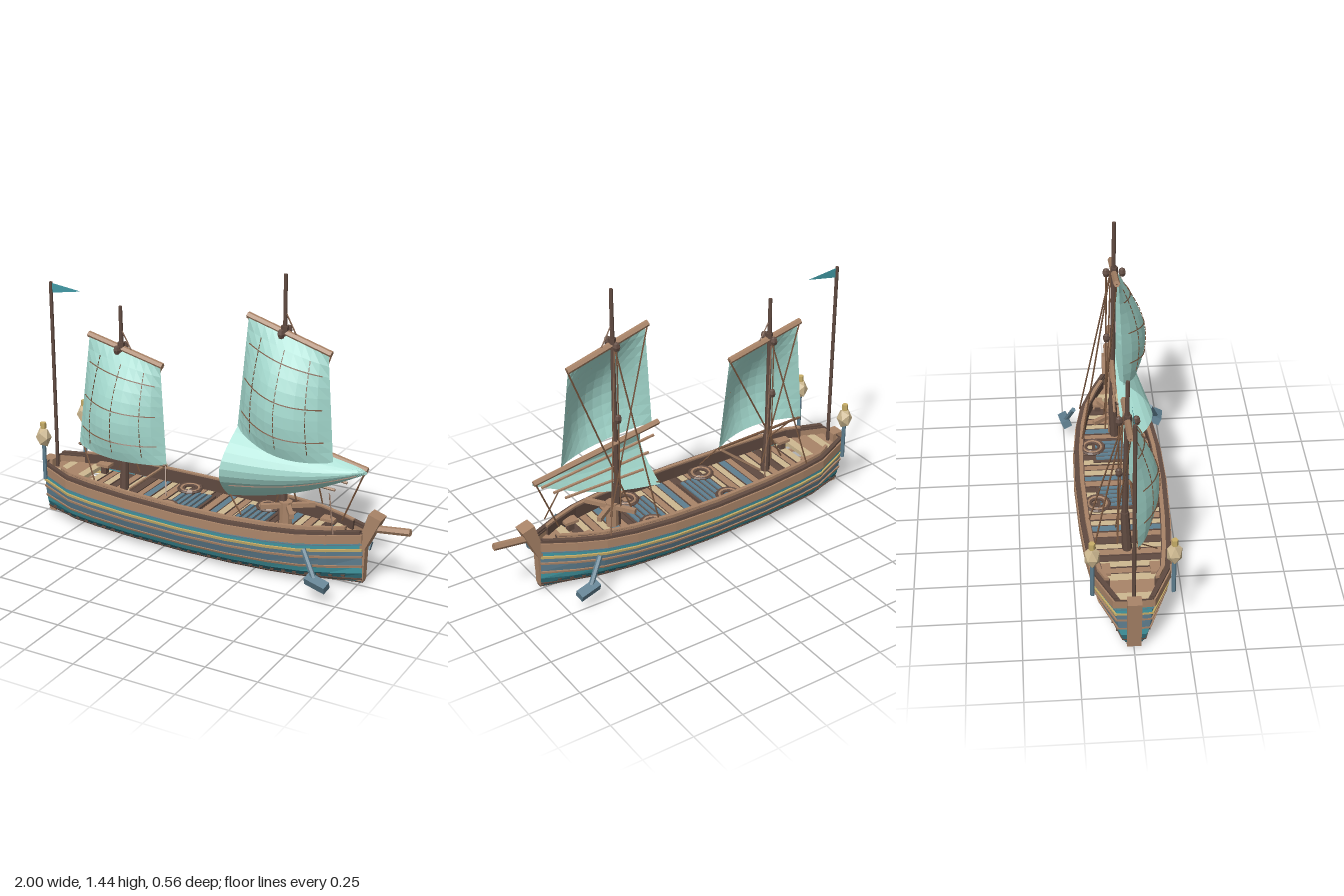
import * as THREE from 'three';

const mat = (name, color, side = THREE.FrontSide) => {
  const m = new THREE.MeshStandardMaterial({ color, flatShading: true, side });
  m.name = name;
  return m;
};
const V = (x, y, z) => new THREE.Vector3(x, y, z);

export function createModel() {
  const M = {
    wood: mat('wood', 0xa98468),
    dark: mat('dark wood', 0x614b41),
    cream: mat('cream plank', 0xcdb890),
    gold: mat('gold trim', 0xc8ae68),
    sail: mat('sail cloth', 0xa3d8cd, THREE.DoubleSide),
    teal: mat('teal paint', 0x429aa5, THREE.DoubleSide),
    deep: mat('deep teal paint', 0x2f6a75),
    slate: mat('slate paint', 0x5f7f90),
    rope: mat('rope', 0x77563f),
  };
  const ship = new THREE.Group();
  ship.name = 'sailingShip';
  const add = (name, geo, m) => {
    const mesh = new THREE.Mesh(geo, m);
    mesh.name = name;
    ship.add(mesh);
    return mesh;
  };
  const box = (name, w, h, d, x, y, z, m) => {
    const b = add(name, new THREE.BoxGeometry(w, h, d), m);
    b.position.set(x, y, z);
    return b;
  };
  const rod = (name, a, b, r, m, sides = 6, r2 = r) => {
    const d = b.clone().sub(a);
    const mesh = add(name, new THREE.CylinderGeometry(r2, r, d.length(), sides), m);
    mesh.position.copy(a).add(b).multiplyScalar(0.5);
    mesh.quaternion.setFromUnitVectors(V(0, 1, 0), d.normalize());
    return mesh;
  };
  const rope = (a, b) => rod('rope', a, b, 0.004, M.rope, 4);
  // Skin through rows of points; closed rows also get end caps
  const loft = (rows, closed = false) => {
    const n = rows[0].length, idx = [];
    for (let i = 0; i < rows.length - 1; i++) {
      for (let j = 0; j < (closed ? n : n - 1); j++) {
        const k = (j + 1) % n, a = i * n + j, b = a + n, c = (i + 1) * n + k, d = i * n + k;
        idx.push(a, b, c, a, c, d);
      }
    }
    if (closed) {
      const e = (rows.length - 1) * n;
      for (let j = 1; j < n - 1; j++) idx.push(0, j, j + 1, e, e + j + 1, e + j);
    }
    const g = new THREE.BufferGeometry().setFromPoints(rows.flat());
    g.setIndex(idx);
    const flat = g.toNonIndexed();
    flat.computeVertexNormals();
    return flat;
  };

  // Hull shape: half beam by length, fullness by height
  const beam = [[-0.96, 0], [-0.955, 0.08], [-0.76, 0.168], [-0.62, 0.187], [-0.4, 0.203], [-0.1, 0.213],
    [0.15, 0.207], [0.35, 0.187], [0.5, 0.157], [0.63, 0.105], [0.78, 0.03]];
  const full = [[0, 0], [0.006, 0.38], [0.02, 0.58], [0.055, 0.74], [0.095, 0.85], [0.14, 0.93], [0.19, 0.98], [0.23, 1], [0.3, 0.97]];
  const lerp = (table, t) => {
    let i = 1;
    while (i < table.length - 1 && t > table[i][0]) i++;
    const [a, p] = table[i - 1], [b, q] = table[i];
    return p + (q - p) * THREE.MathUtils.clamp((t - a) / (b - a), 0, 1);
  };
  const sheer = (x) => 0.026 * (x / 0.9) ** 2;
  const side = (x, y, off = 0) => V(x, y + sheer(x), Math.max(0, lerp(beam, x) * lerp(full, y) + off));
  const both = (name, section, m, closed, x0 = -0.96, x1 = 0.78) => {
    const xs = [x0, ...beam.map((b) => b[0]).filter((x) => x > x0 && x < x1), x1];
    const rows = xs.map((x) => section.map(([y, off]) => side(x, y, off)));
    add(name, loft(rows, closed), m);
    add(name, loft(rows.map((r) => r.map((p) => V(p.x, p.y, -p.z)).reverse()), closed), m);
  };
  const strake = (name, y0, y1, out, inn, m, x0, x1) =>
    both(name, [[y0, out], [y1, out], [y1, inn], [y0, inn]], m, true, x0, x1);

  // Painted hull bands from keel to rail
  both('hullBottom', [[0, 0], [0.006, 0], [0.02, 0], [0.055, 0]], M.deep);
  both('hullLowerBand', [[0.055, 0], [0.095, 0]], M.teal);
  both('hullMiddleBand', [[0.095, 0], [0.14, 0], [0.18, 0]], M.slate);
  both('hullUpperBand', [[0.18, 0], [0.222, 0]], M.teal);
  strake('keelStrake', 0.004, 0.01, 0.005, -0.01, M.dark);
  strake('bilgeStrake', 0.022, 0.03, 0.006, -0.01, M.dark);
  strake('lowerWale', 0.088, 0.099, 0.008, -0.01, M.wood);
  strake('middleWale', 0.14, 0.15, 0.008, -0.01, M.wood);
  strake('goldTrim', 0.174, 0.186, 0.009, -0.01, M.gold);
  strake('upperTrim', 0.205, 0.21, 0.006, -0.01, M.slate);
  strake('bulwark', 0.218, 0.26, 0.014, -0.018, M.wood);
  strake('railShadowStrip', 0.26, 0.268, 0.006, -0.018, M.dark);
  strake('railCap', 0.268, 0.277, 0.01, -0.012, M.dark, -0.95, 0.77);
  strake('innerRail', 0.277, 0.292, -0.012, -0.03, M.wood, -0.83, 0.7);
  strake('innerRailEdge', 0.22, 0.284, -0.012, -0.035, M.dark, -0.83, 0.7);

  // Row of small nails along the bilge
  for (let x = -0.9; x < 0.74; x += 0.055) {
    const p = side(x, 0.042, 0.001);
    for (const s of [1, -1]) box('hullNail', 0.018, 0.007, 0.01, p.x, p.y, p.z * s, M.dark);
  }

  // Cross planked deck, raised at both ends
  const plankMats = [M.wood, M.cream, M.dark, M.wood, M.slate, M.cream, M.wood, M.cream, M.dark];
  const step = 0.042;
  for (let x = -0.93, i = 0; x < 0.75; x += step, i++) {
    const ends = x < -0.74 || x > 0.62;
    const w = Math.min(lerp(beam, x - step / 2), lerp(beam, x + step / 2)) * 0.96 - 0.006;
    if (w < 0.01) continue;
    const m = ends ? (i % 3 === 1 ? M.cream : M.wood) : plankMats[i % plankMats.length];
    box('deckPlank', step, 0.02, 2 * w, x, ends ? 0.245 : 0.205 + (i % 2) * 0.004, 0, m);
    if (!ends) box('deckSeam', 0.004, 0.02, 2 * w, x + step / 2, 0.2105, 0, M.dark);
  }
  // Gratings and rope coils
  for (const x of [-0.16, 0.2]) {
    box('hatchFrame', 0.17, 0.02, 0.24, x, 0.216, 0, M.dark);
    for (let i = 0; i < 5; i++) box('hatchBar', 0.018, 0.012, 0.21, x - 0.062 + i * 0.031, 0.228, 0, M.slate);
    for (const z of [-0.12, 0.12]) {
      for (let k = 0; k < 3; k++) {
        const t = add('ropeCoil', new THREE.TorusGeometry(0.058 - k * 0.012, 0.008, 5, 14), k % 2 ? M.wood : M.dark);
        t.rotation.x = Math.PI / 2;
        t.position.set(x - 0.06 + (x > 0 ? 0.08 : 0), 0.238, z);
      }
    }
  }
  // Side benches
  for (const s of [1, -1]) {
    for (const x of [-0.72, 0.56]) {
      box('bench', 0.07, 0.014, 0.05, x, 0.265, s * (x < 0 ? 0.115 : 0.075), M.wood);
      box('benchLeg', 0.03, 0.05, 0.03, x, 0.235, s * (x < 0 ? 0.115 : 0.075), M.dark);
    }
  }

  // Stem, stern post and bowsprit
  const post = (name, pts, depth) => {
    const g = new THREE.ExtrudeGeometry(new THREE.Shape(pts.map((p) => new THREE.Vector2(...p))), { depth, bevelEnabled: false });
    add(name, g.translate(0, 0, -depth / 2), M.wood);
  };
  post('lowerStem', [[0.72, 0.025], [0.783, 0.035], [0.79, 0.24], [0.74, 0.24]], 0.04);
  post('upperStem', [[0.75, 0.2], [0.79, 0.2], [0.868, 0.365], [0.805, 0.385]], 0.07);
  post('sternPost', [[-0.965, 0.02], [-0.93, 0.02], [-0.94, 0.3], [-1.0, 0.3]], 0.065);
  rod('bowsprit', V(0.78, 0.3, 0), V(1, 0.325, 0), 0.018, M.wood);

  // Sail cloth with seams and stitches; S maps (u across, v down) to a point
  const sail = (name, S, us, vs) => {
    const n = 10, rows = [];
    for (let i = 0; i <= n; i++) {
      rows.push([]);
      for (let j = 0; j <= n; j++) rows[i].push(S(i / n, j / n));
    }
    add(name, loft(rows), M.sail);
    const F = (u, v) => S(u, v).add(V(0, 0, 0.003));
    for (const v of vs) {
      const pts = Array.from({ length: 11 }, (_, i) => F(0.06 + i * 0.088, v));
      add('sailSeam', new THREE.TubeGeometry(new THREE.CatmullRomCurve3(pts), 20, 0.003, 3), M.rope);
    }
    for (const u of us) for (let k = 0; k < 16; k++) {
      const v = 0.1 + k * 0.052;
      rod('sailStitch', F(u, v), F(u, v + 0.038), 0.0025, M.rope, 3);
    }
  };
  const squareSail = (name, tl, tr, bl, br, bulge, sag) => sail(name, (u, v) => {
    const p = tl.clone().lerp(tr, u).lerp(bl.clone().lerp(br, u), v);
    p.z += 0.01 + bulge * Math.sin(Math.PI * u) ** 0.8 * Math.sin(Math.PI * 0.78 * v);
    p.y -= sag * Math.sin(Math.PI * u) * v;
    return p;
  }, [0.2, 0.5, 0.8], [0.2, 0.5, 0.8]);
  squareSail('mainSail', V(0.17, 1.22, 0), V(0.575, 1.1, 0), V(0.125, 0.68, 0.02), V(0.62, 0.6, 0.02), 0.13, 0.03);
  squareSail('mizzenSail', V(-0.705, 0.985, 0), V(-0.305, 0.895, 0), V(-0.77, 0.425, 0.02), V(-0.265, 0.405, 0.02), 0.122, 0);
  sail('lowerSail', (u, v) => {
    const p = V(0.13, 0.705, 0.01).lerp(V(0.78, 0.59, 0.01), u).lerp(V(0.08, 0.325, 0.03).lerp(V(0.78, 0.57, 0.01), u), v);
    p.z += 0.15 * Math.sin(Math.PI * v) * (1 - u) ** 0.6;
    p.y -= 0.04 * Math.sin(Math.PI * u) * v;
    return p;
  }, [], [0.75]);
  // Battens behind the lower sail
  for (let k = 0; k < 3; k++) {
    rod('sailBatten', V(0.14 + k * 0.03, 0.64 - k * 0.085, -0.01), V(0.74 - k * 0.06, 0.55 - k * 0.048, 0), 0.007, M.wood, 5);
  }
  // Rope hem at the foot of the mizzen sail
  rod('sailHem', V(-0.77, 0.425, 0.035), V(-0.265, 0.405, 0.035), 0.007, M.rope, 5);

  // Masts, yards, tackle blocks and rigging
  const block = (x, y, z) => {
    const b = add('tackleBlock', new THREE.SphereGeometry(0.019, 6, 4), M.dark);
    b.scale.y = 1.3;
    b.position.set(x, y, z);
  };
  const rig = (x, top, neck, yardL, yardR, blocks, footL, footR) => {
    rod('lowerMast', V(x, 0.2, 0), V(x, 0.44, -0.012), 0.024, M.dark, 8, 0.02);
    rod('mast', V(x, 0.42, -0.012), V(x, top, 0), 0.015, M.dark, 8, 0.009);
    rod('mastBand', V(x, neck - 0.02, 0), V(x, neck + 0.03, 0), 0.018, M.dark, 6);
    rod('yard', yardL, yardR, 0.016, M.wood);
    block(x, neck, 0.038);
    for (const y of blocks) block(x, y, -0.038);
    rope(V(x, neck + 0.1, 0), yardL.clone().lerp(yardR, 0.6));
    rope(V(x, neck, -0.038), V(x, 0.3, -0.045));
    for (const dx of [-0.13, 0.13]) rope(V(x, neck - 0.01, -0.02), V(x + dx, 0.29, -0.17));
    rope(yardL, V(x + 0.06, 0.3, -0.05));
    rope(yardR, V(x - 0.06, 0.3, -0.05));
    rope(footL, V(footL.x + 0.12, 0.29, 0.13));
    rope(footR, V(footR.x + 0.05, 0.29, 0.12));
  };
  rig(0.35, 1.445, 1.175, V(0.16, 1.228, 0), V(0.585, 1.105, 0), [1.175, 0.805], V(0.08, 0.34, 0.03), V(0.62, 0.46, 0.06));
  rig(-0.53, 1.165, 0.955, V(-0.715, 0.998, 0), V(-0.298, 0.9, 0), [0.955, 0.67], V(-0.74, 0.43, 0.04), V(-0.265, 0.405, 0.04));
  rod('lowerYard', V(0.12, 0.712, -0.02), V(0.78, 0.585, 0), 0.014, M.wood);
  rope(V(0.77, 0.58, 0), V(0.66, 0.31, 0));
  rod('sailStrut', V(-0.5, 0.22, 0), V(-0.27, 0.405, 0.02), 0.007, M.wood, 5);

  // Capstan around the main mast
  rod('capstanHub', V(0.37, 0.21, 0), V(0.37, 0.345, 0), 0.032, M.wood, 8);
  for (const a of [0.6, 0.6 + Math.PI / 2]) {
    const b = box('capstanBar', 0.26, 0.022, 0.022, 0.38, 0.325, 0, M.wood);
    b.rotation.y = a;
  }

  // Stern flag
  rod('flagPole', V(-0.93, 0.25, 0), V(-0.93, 1.23, 0), 0.009, M.dark);
  add('flag', new THREE.ShapeGeometry(new THREE.Shape([[-0.925, 1.175], [-0.755, 1.205], [-0.925, 1.225]]
    .map((p) => new THREE.Vector2(...p)))), M.teal);

  for (const s of [1, -1]) {
    // Stern lanterns
    const z = 0.18 * s;
    rod('lanternPole', V(-0.88, 0.265, z), V(-0.88, 0.45, z), 0.01, M.slate);
    const lantern = add('lantern', new THREE.IcosahedronGeometry(0.039, 0), M.cream);
    lantern.scale.y = 1.4;
    lantern.position.set(-0.88, 0.488, z);
    rod('lanternCap', V(-0.88, 0.535, z), V(-0.88, 0.565, z), 0.015, M.gold);
    // Steering paddles at the bow
    rod('paddleShaft', V(0.56, 0.225, 0.2 * s), V(0.64, 0.1, 0.24 * s), 0.013, M.slate);
    const blade = box('paddleBlade', 0.11, 0.04, 0.045, 0.652, 0.093, 0.243 * s, M.slate);
    blade.rotation.set(0.4 * s, -0.2 * s, -0.12);
  }
  return ship;
}
